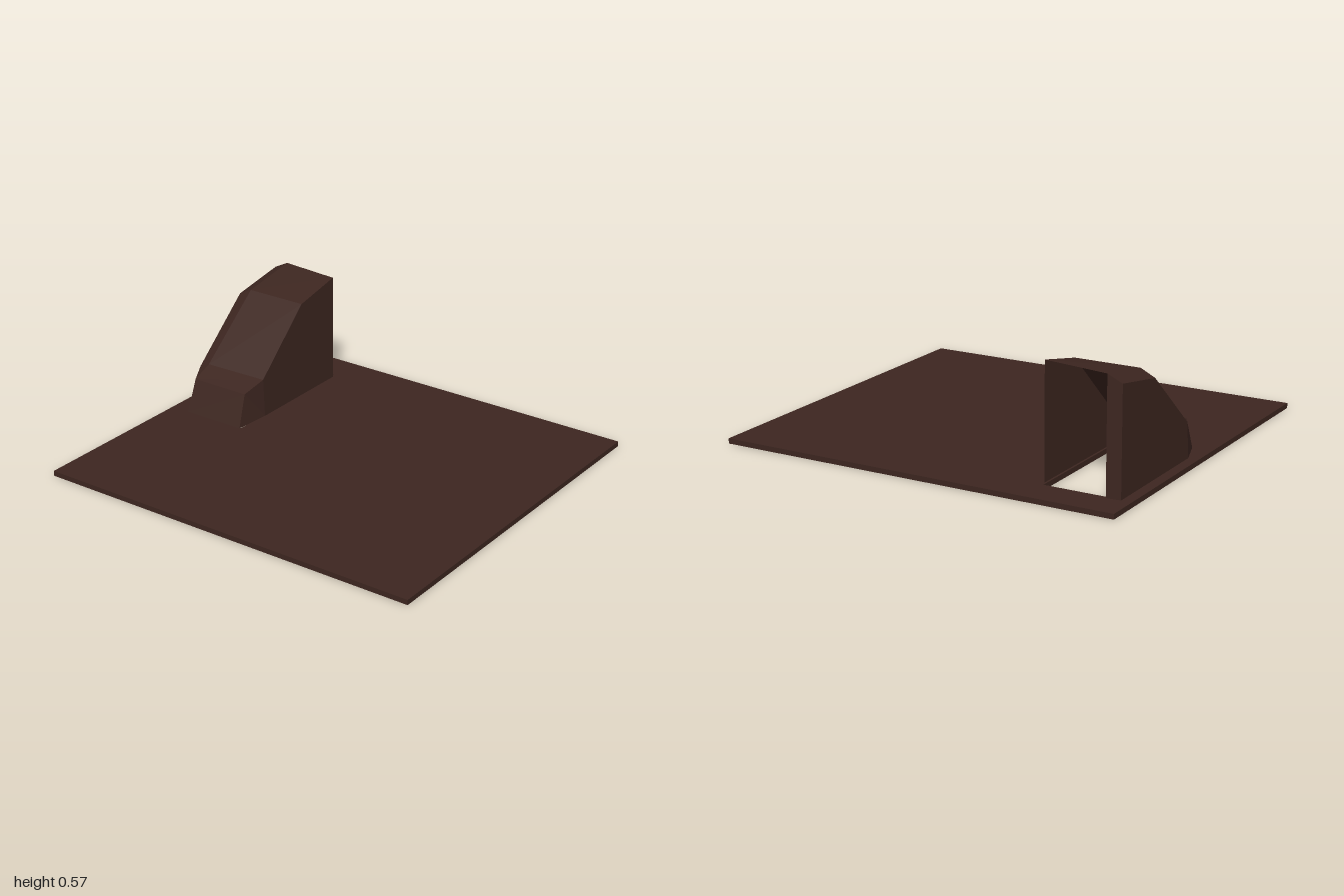
import * as THREE from 'three';

const material = new THREE.MeshStandardMaterial({ color: 0x3d2620, flatShading: true, side: THREE.DoubleSide });

// Mesh made of flat quads, each given by four corners
function quadMesh(name, quads) {
  const pos = quads.flatMap(([a, b, c, d]) => [a, b, c, a, c, d]).flat();
  const geo = new THREE.BufferGeometry();
  geo.setAttribute('position', new THREE.Float32BufferAttribute(pos, 3));
  geo.computeVertexNormals();
  const mesh = new THREE.Mesh(geo, material);
  mesh.name = name;
  return mesh;
}

// Quads joining neighbouring rows of points
function loft(rows) {
  const quads = [];
  for (let i = 0; i < rows.length - 1; i++)
    for (let j = 0; j < rows[i].length - 1; j++)
      quads.push([rows[i][j], rows[i][j + 1], rows[i + 1][j + 1], rows[i + 1][j]]);
  return quads;
}

export function createModel() {
  const group = new THREE.Group();
  const base = 0.025;

  // Deck slab with a hatch opening (shape y becomes -z)
  const shape = new THREE.Shape();
  shape.moveTo(-1, -0.91).lineTo(1, -0.91).lineTo(1, 0.91).lineTo(-1, 0.91).closePath();
  const hole = new THREE.Path();
  hole.moveTo(-0.9, -0.04).lineTo(-0.9, 0.74).lineTo(-0.57, 0.74).lineTo(-0.57, -0.04).closePath();
  shape.holes.push(hole);
  const slab = new THREE.ExtrudeGeometry(shape, { depth: base, bevelEnabled: false });
  slab.rotateX(-Math.PI / 2);
  const deck = new THREE.Mesh(slab, material);
  deck.name = 'deckSlab';
  group.add(deck);

  // Hood sections from nose to open back:
  // outer foot, outer shoulder, roof ridge, roof edge, inner foot
  const rows = [
    [[-0.90, base, 0.045], [-0.90, base, 0.045], [-0.90, base, 0.045], [-0.575, base, 0.045], [-0.575, base, 0.045]],
    [[-0.90, base, 0.045], [-0.90, 0.18, -0.02], [-0.90, 0.18, -0.02], [-0.59, 0.18, -0.02], [-0.575, base, 0.045]],
    [[-0.95, base, -0.10], [-0.95, 0.20, -0.12], [-0.895, 0.225, -0.12], [-0.56, 0.225, -0.13], [-0.56, base, -0.14]],
    [[-0.95, base, -0.44], [-0.95, 0.485, -0.45], [-0.88, 0.52, -0.45], [-0.56, 0.52, -0.45], [-0.56, base, -0.44]],
    [[-0.95, base, -0.75], [-0.95, 0.535, -0.75], [-0.88, 0.57, -0.755], [-0.56, 0.575, -0.715], [-0.56, base, -0.715]],
  ];
  group.add(quadMesh('hatchHood', loft(rows)));

  // Inner face of the thick side wall, down from the roof ridge
  const inner = rows.slice(1).map((r) => [r[2], [r[2][0], base, r[0][2]]]);
  group.add(quadMesh('sideWallLining', loft(inner)));

  // End face closing the thick wall at the doorway
  const [foot, shoulder, ridge] = rows[4];
  group.add(quadMesh('doorPost', [[foot, shoulder, ridge, [ridge[0], base, ridge[2]]]]));

  return group;
}
